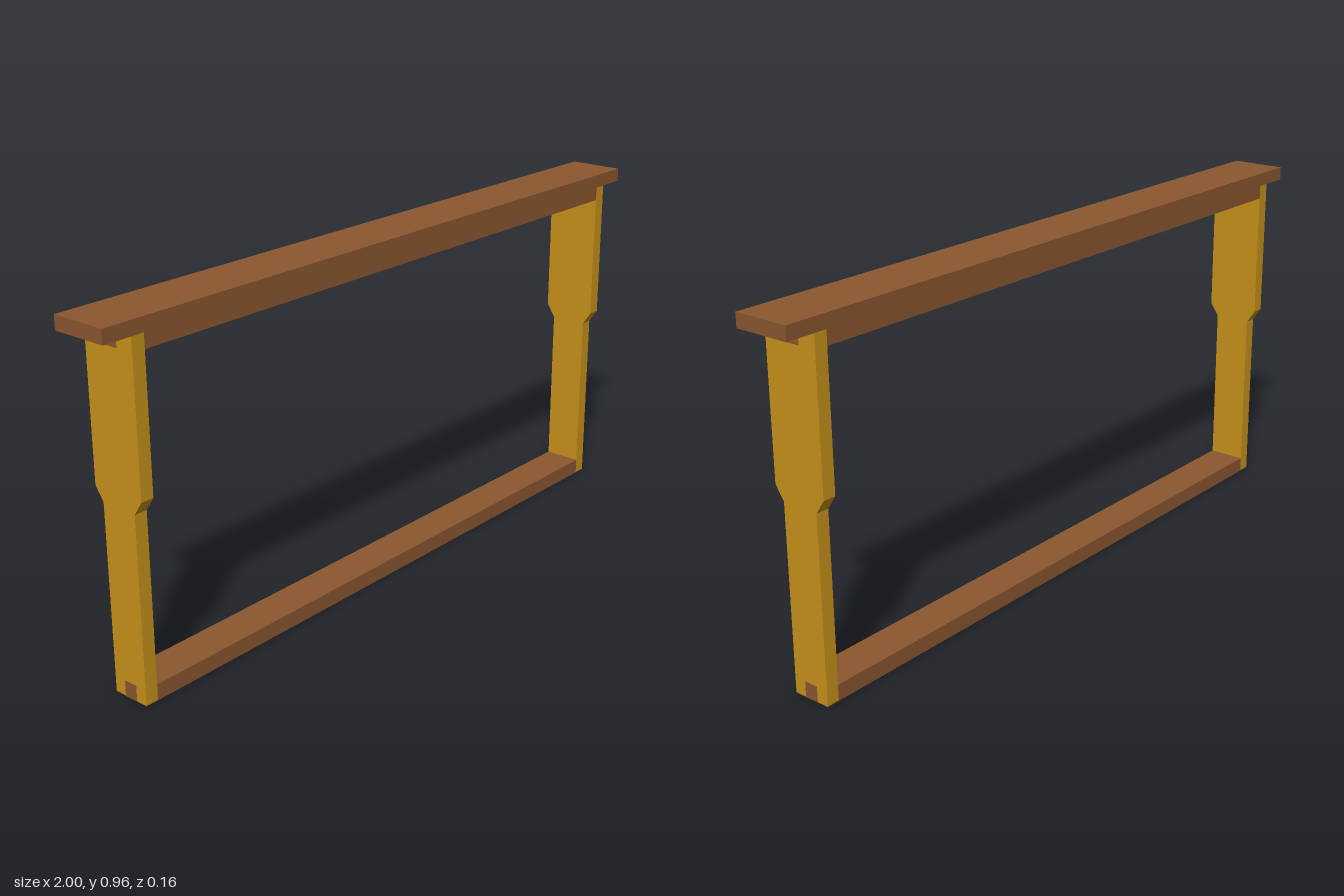
import * as THREE from 'three';

const brown = new THREE.MeshStandardMaterial({ color: 0x8b5730 });
const gold = new THREE.MeshStandardMaterial({ color: 0xc8921a });

const INNER = 0.885, OUTER = 0.921;      // faces of the end bars along x
const THICK = OUTER - INNER;
const FOOT = 0.002;                      // painted underside of the end bars
const TOP = 0.923, TENON_TOP = 0.885, TENON_BOTTOM = 0.043;

export function createModel() {
  const group = new THREE.Group();

  const add = (name, geometry, material, x = 0, y = 0) => {
    const mesh = new THREE.Mesh(geometry, material);
    mesh.name = name;
    mesh.position.set(x, y, 0);
    group.add(mesh);
  };
  // Box spanning heights y0 to y1, centred on z
  const bar = (name, width, y0, y1, depth, material = brown, x = 0) =>
    add(name, new THREE.BoxGeometry(width, y1 - y0, depth), material, x, (y0 + y1) / 2);

  // Top bar with lugs, and the deeper rail between the end bars (golden underside)
  bar('topBar', 2, TOP, 0.96, 0.156);
  bar('topRail', 2 * INNER, TENON_TOP, TOP, 0.156, [brown, brown, brown, gold, brown, brown]);

  // Bottom bar
  bar('bottomBar', 2 * INNER, 0, TENON_BOTTOM, 0.106);

  // End bar outline (z, y): wide above, narrow below, notched for the tenons
  const half = [
    [0.02, FOOT], [0.053, FOOT], [0.053, 0.496], [0.078, 0.533],
    [0.078, TOP], [0.027, TOP], [0.027, TENON_TOP],
  ];
  const outline = [[0.02, TENON_BOTTOM], ...half];
  const mirrored = outline.map(([z, y]) => [-z, y]).reverse();
  const shape = new THREE.Shape([...outline, ...mirrored].map(([z, y]) => new THREE.Vector2(z, y)));
  const endBar = new THREE.ExtrudeGeometry(shape, { depth: THICK, bevelEnabled: false });
  endBar.translate(0, 0, -THICK / 2).rotateY(-Math.PI / 2);

  for (const [side, s] of [['left', 1], ['right', -1]]) {
    const x = s * (INNER + OUTER) / 2;
    add(side + 'EndBar', endBar, gold, x);
    bar(side + 'EndBarFoot', THICK, 0, FOOT, 0.106, brown, x);
    bar(side + 'TopTenon', THICK, TENON_TOP, TOP, 0.054, brown, x);
    bar(side + 'BottomTenon', THICK, FOOT, TENON_BOTTOM, 0.04, brown, x);
  }
  return group;
}
